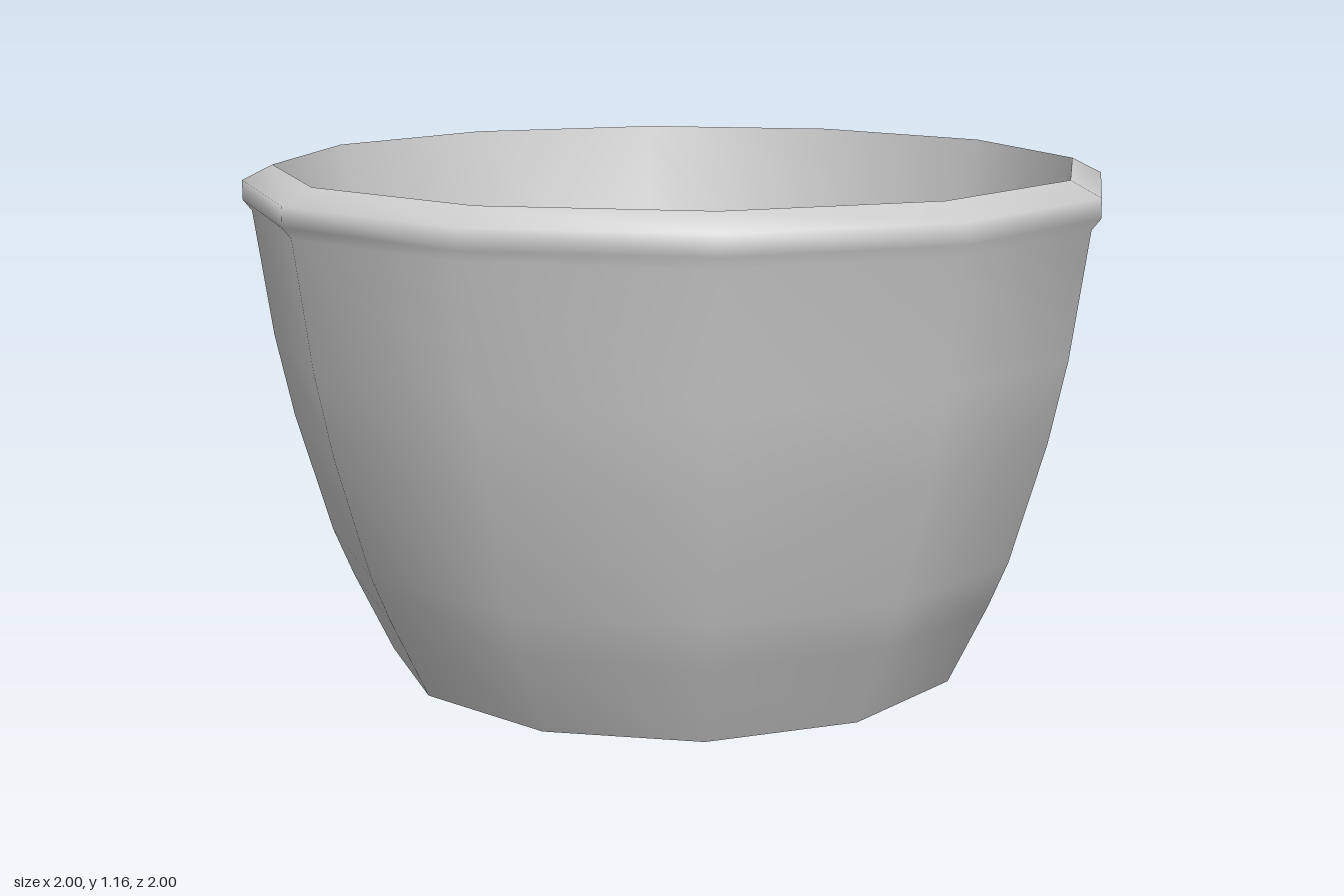
import * as THREE from 'three';
import { mergeVertices } from 'three/addons/utils/BufferGeometryUtils.js';

const SIDES = 12;

// Twelve-sided turned surface with normals smoothed by face area
function turned(name, profile, material) {
  const points = profile.map(([r, y]) => new THREE.Vector2(r, y));
  const lathe = new THREE.LatheGeometry(points, SIDES);
  lathe.deleteAttribute('uv');
  lathe.deleteAttribute('normal');
  const geometry = mergeVertices(lathe, 1e-4);
  geometry.computeVertexNormals();
  const mesh = new THREE.Mesh(geometry, material);
  mesh.name = name;
  return mesh;
}

export function createModel() {
  const model = new THREE.Group();
  model.name = 'bowl';
  const material = new THREE.MeshStandardMaterial({ color: 0xcccccc });

  // Flat underside
  model.add(turned('base', [[0, 0], [0.685, 0]], material));

  // Curved outer wall flowing into the overhanging lip
  model.add(turned('outerWallAndRim', [
    [0.685, 0], [0.775, 0.19], [0.82, 0.3], [0.9, 0.58], [0.94, 0.77], [0.98, 1.06],
    [1, 1.085], [1, 1.13], [0.93, 1.165],
  ], material));

  // Tapering hollow with a flat floor, shaded as one soft surface
  model.add(turned('hollow', [
    [0.93, 1.165], [0.79, 0.62], [0.6, 0.1], [0, 0.1],
  ], material));

  return model;
}
